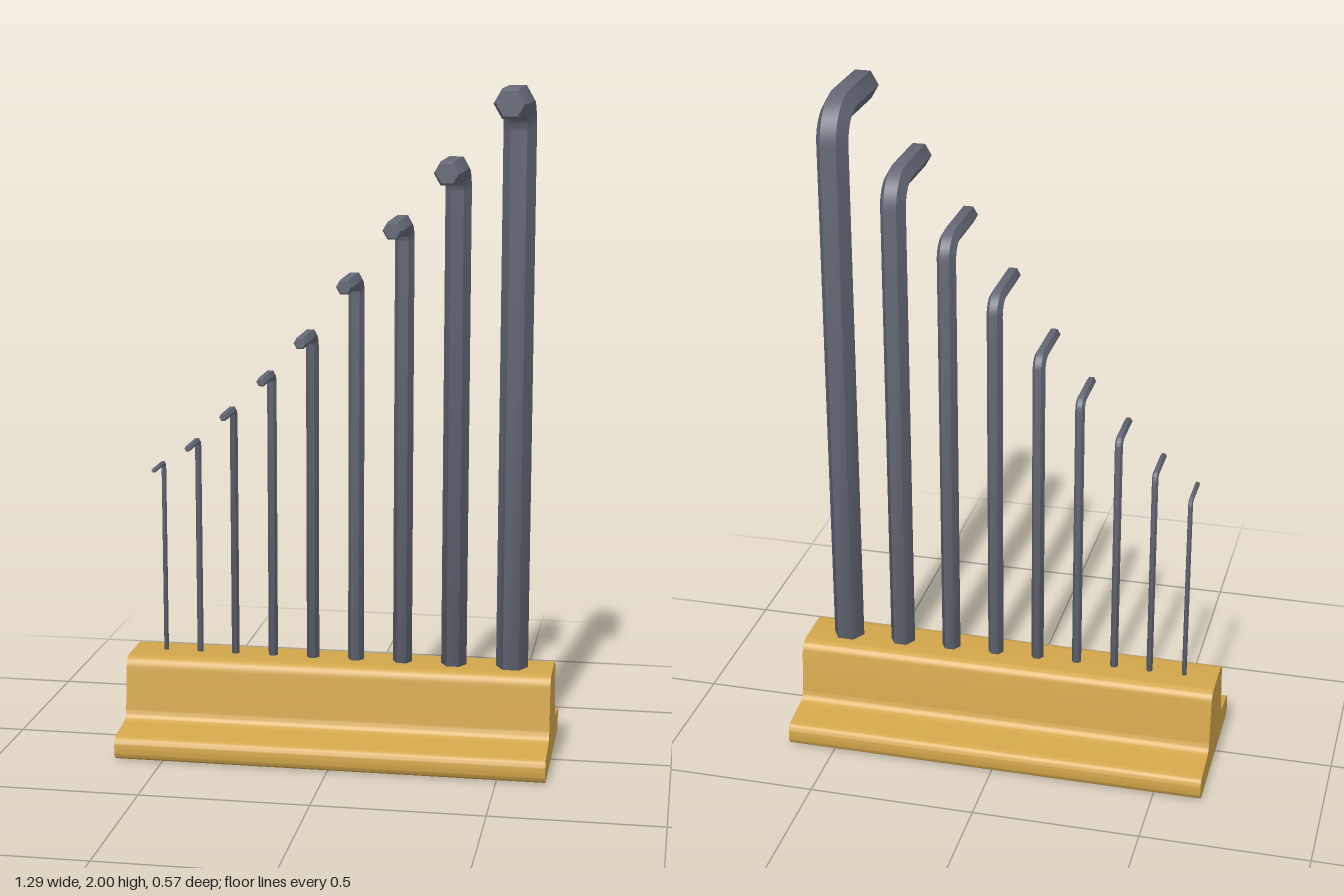
import * as THREE from 'three';
import { toCreasedNormals } from 'three/addons/utils/BufferGeometryUtils.js';

const CENTRE_Z = -0.028; // shared centre line of the stand and the shafts
const UNIT = 0.0083; // model units per step of key size

// Closed shape with its corners rounded: points are [x, y, radius]
function roundedShape(points) {
  const shape = new THREE.Shape();
  const n = points.length;
  points.forEach(([x, y, r], i) => {
    const corner = new THREE.Vector2(x, y);
    const toward = ([px, py]) => new THREE.Vector2(px, py).sub(corner).setLength(r).add(corner);
    const a = toward(points[(i + n - 1) % n]);
    const b = toward(points[(i + 1) % n]);
    if (i === 0) shape.moveTo(a.x, a.y);
    else shape.lineTo(a.x, a.y);
    shape.quadraticCurveTo(x, y, b.x, b.y);
  });
  shape.closePath();
  return shape;
}

// Rail-shaped stand, extruded along x
function standGeometry() {
  const half = [
    [0.257, 0, 0.03],
    [0.257, 0.07, 0.028],
    [0.117, 0.086, 0.03],
    [0.095, 0.275, 0.035],
  ];
  const mirrored = half.map(([x, y, r]) => [-x, y, r]).reverse();
  const length = 1.286;
  const geometry = new THREE.ExtrudeGeometry(roundedShape([...half, ...mirrored]), {
    depth: length, bevelEnabled: false, curveSegments: 8,
  });
  geometry.rotateY(Math.PI / 2);
  geometry.translate(-length / 2, 0, CENTRE_Z);
  return toCreasedNormals(geometry, 0.7);
}

// Hexagonal bar swept up the shaft, round the bend and out along the arm
function keyGeometry(size, top, tip) {
  const flats = size * UNIT;
  const radius = flats / Math.sqrt(3);
  const bend = flats * 1.12;
  const armY = top - flats / 2;
  const chamfer = flats * 0.13;
  const bottom = 0.1;

  // Rings: height, depth, turning angle, scale
  const rings = [
    [bottom, CENTRE_Z, 0, 0.82],
    [bottom + chamfer, CENTRE_Z, 0, 1],
  ];
  const steps = 10;
  for (let i = 0; i <= steps; i++) {
    const t = (i / steps) * Math.PI / 2;
    rings.push([armY - bend + bend * Math.sin(t), CENTRE_Z + bend - bend * Math.cos(t), t, 1]);
  }
  rings.push([armY, tip - chamfer, Math.PI / 2, 1], [armY, tip, Math.PI / 2, 0.82]);

  const positions = [];
  const index = [];
  for (const [y, z, t, s] of rings) {
    for (let k = 0; k < 6; k++) {
      const a = (k * Math.PI) / 3;
      const n = radius * s * Math.sin(a);
      positions.push(radius * s * Math.cos(a), y - n * Math.sin(t), z + n * Math.cos(t));
    }
  }
  const last = (rings.length - 1) * 6;
  for (let r = 0; r < last; r += 6) {
    for (let k = 0; k < 6; k++) {
      const a = r + k;
      const b = r + ((k + 1) % 6);
      index.push(a, a + 6, b, b, a + 6, b + 6);
    }
  }
  // End caps
  for (let k = 1; k < 5; k++) {
    index.push(0, k, k + 1, last, last + k + 1, last + k);
  }
  const geometry = new THREE.BufferGeometry();
  geometry.setAttribute('position', new THREE.Float32BufferAttribute(positions, 3));
  geometry.setIndex(index);
  return toCreasedNormals(geometry, 0.7);
}

export function createModel() {
  const gold = new THREE.MeshStandardMaterial({ color: 0xd1a54a });
  gold.name = 'gold stand';
  const steel = new THREE.MeshStandardMaterial({ color: 0x636875 });
  steel.name = 'dark steel';

  const model = new THREE.Group();
  model.name = 'hexKeySet';

  const stand = new THREE.Mesh(standGeometry(), gold);
  stand.name = 'stand';
  model.add(stand);

  // Keys: size, x position, top height, arm tip depth
  const keys = [
    [1.5, -0.542, 0.868, 0.095],
    [2, -0.435, 0.943, 0.11],
    [2.5, -0.325, 1.044, 0.118],
    [3, -0.208, 1.157, 0.133],
    [4, -0.085, 1.284, 0.173],
    [5, 0.047, 1.456, 0.197],
    [6, 0.189, 1.626, 0.227],
    [8, 0.345, 1.798, 0.255],
    [10, 0.52, 2.0, 0.284],
  ];
  keys.forEach(([size, x, top, tip], i) => {
    const key = new THREE.Mesh(keyGeometry(size, top, tip), steel);
    key.name = `hexKey${i + 1}`;
    key.position.x = x;
    model.add(key);
  });
  return model;
}
